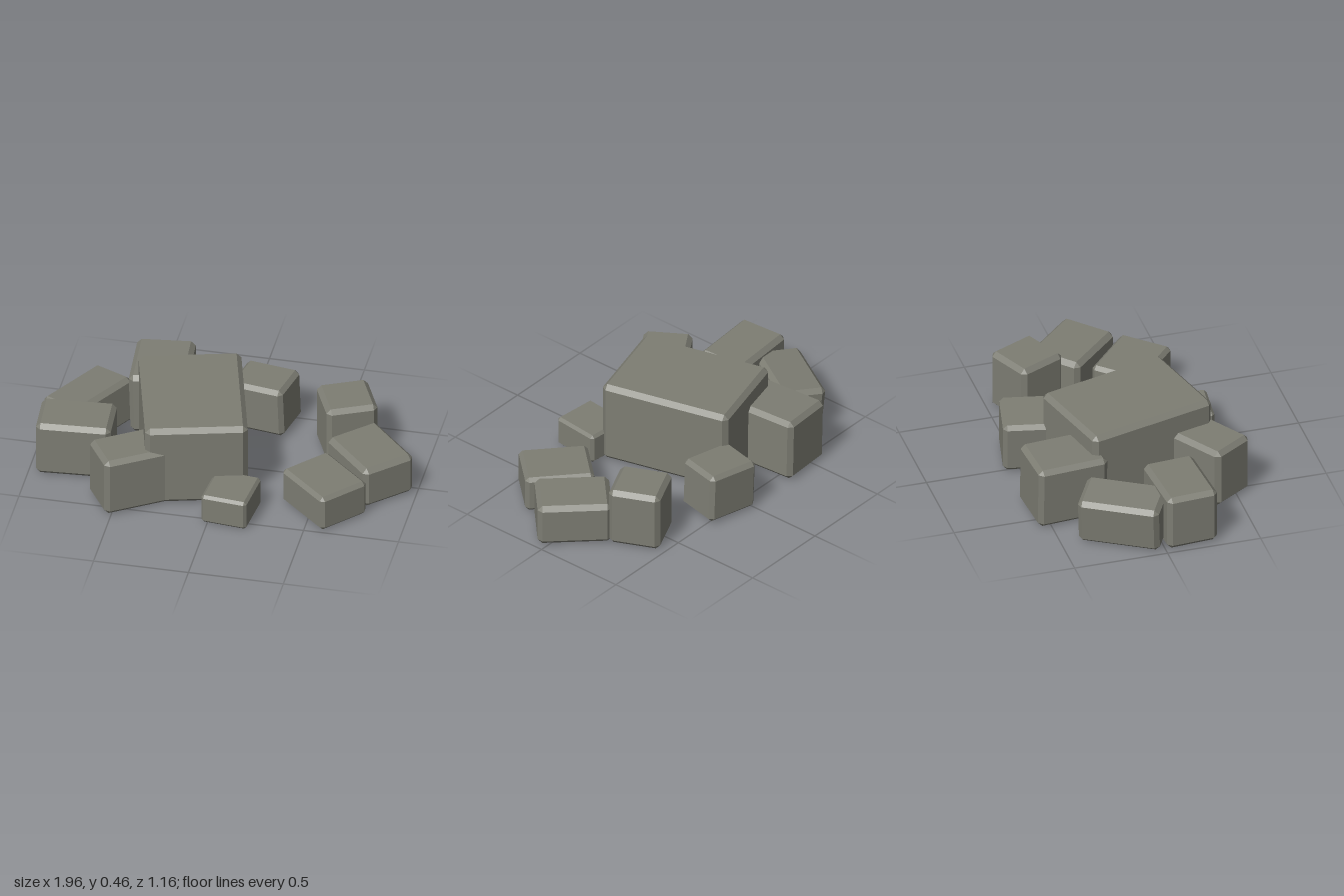
import * as THREE from 'three';
import { ConvexGeometry } from 'three/addons/geometries/ConvexGeometry.js';

// Box with every edge and corner cut flat, base at y = 0
function chamferedBlock(w, h, d, c) {
  const points = [];
  for (const sx of [-1, 1]) for (const sy of [-1, 1]) for (const sz of [-1, 1]) {
    const x = w / 2, y = h / 2, z = d / 2;
    points.push(
      new THREE.Vector3(sx * x, sy * (y - c), sz * (z - c)),
      new THREE.Vector3(sx * (x - c), sy * y, sz * (z - c)),
      new THREE.Vector3(sx * (x - c), sy * (y - c), sz * z));
  }
  return new ConvexGeometry(points).translate(0, h / 2, 0);
}

// name, x, z, width, height, depth, turn, lean, chamfer
const ROCKS = [
  ['mainBoulder', -0.183, 0.024, 0.53, 0.455, 0.715, 0.26, 0, 0.025],
  ['leftBackTallRock', 0.56, -0.295, 0.27, 0.325, 0.275, 0.43, 0, 0.024],
  ['leftMiddleRock', 0.745, 0, 0.385, 0.23, 0.3, -0.81, 0, 0.025],
  ['leftFrontRock', 0.56, 0.268, 0.36, 0.2, 0.29, -0.74, 0, 0.02],
  ['smallFrontRock', 0.1, 0.42, 0.245, 0.165, 0.265, -0.1, 0, 0.015],
  ['rightFrontRock', -0.432, 0.377, 0.38, 0.325, 0.255, 0.57, 0, 0.024],
  ['rightMiddleRock', -0.775, 0.135, 0.39, 0.305, 0.275, 0.07, 0, 0.024],
  ['rightBackRock', -0.775, -0.17, 0.25, 0.255, 0.43, -0.53, 0.1, 0.024],
  ['backTallRock', -0.43, -0.39, 0.305, 0.345, 0.38, 0.08, 0.03, 0.024],
  ['backRock', 0.1, -0.44, 0.295, 0.275, 0.25, -0.21, 0.04, 0.022],
];

export function createModel() {
  const group = new THREE.Group();
  group.name = 'rockCluster';
  const stone = new THREE.MeshStandardMaterial({ color: 0x7d7d73 });
  stone.name = 'greyStone';

  for (const [name, x, z, w, h, d, turn, lean, c] of ROCKS) {
    const geometry = chamferedBlock(w, h, d, c);
    // Lean the rock about its middle, then set it back on the ground
    geometry.translate(0, -h / 2, 0).rotateZ(lean);
    geometry.computeBoundingBox();
    geometry.translate(0, -geometry.boundingBox.min.y, 0);
    const rock = new THREE.Mesh(geometry, stone);
    rock.name = name;
    rock.position.set(x, 0, z);
    rock.rotation.y = turn;
    group.add(rock);
  }
  return group;
}
